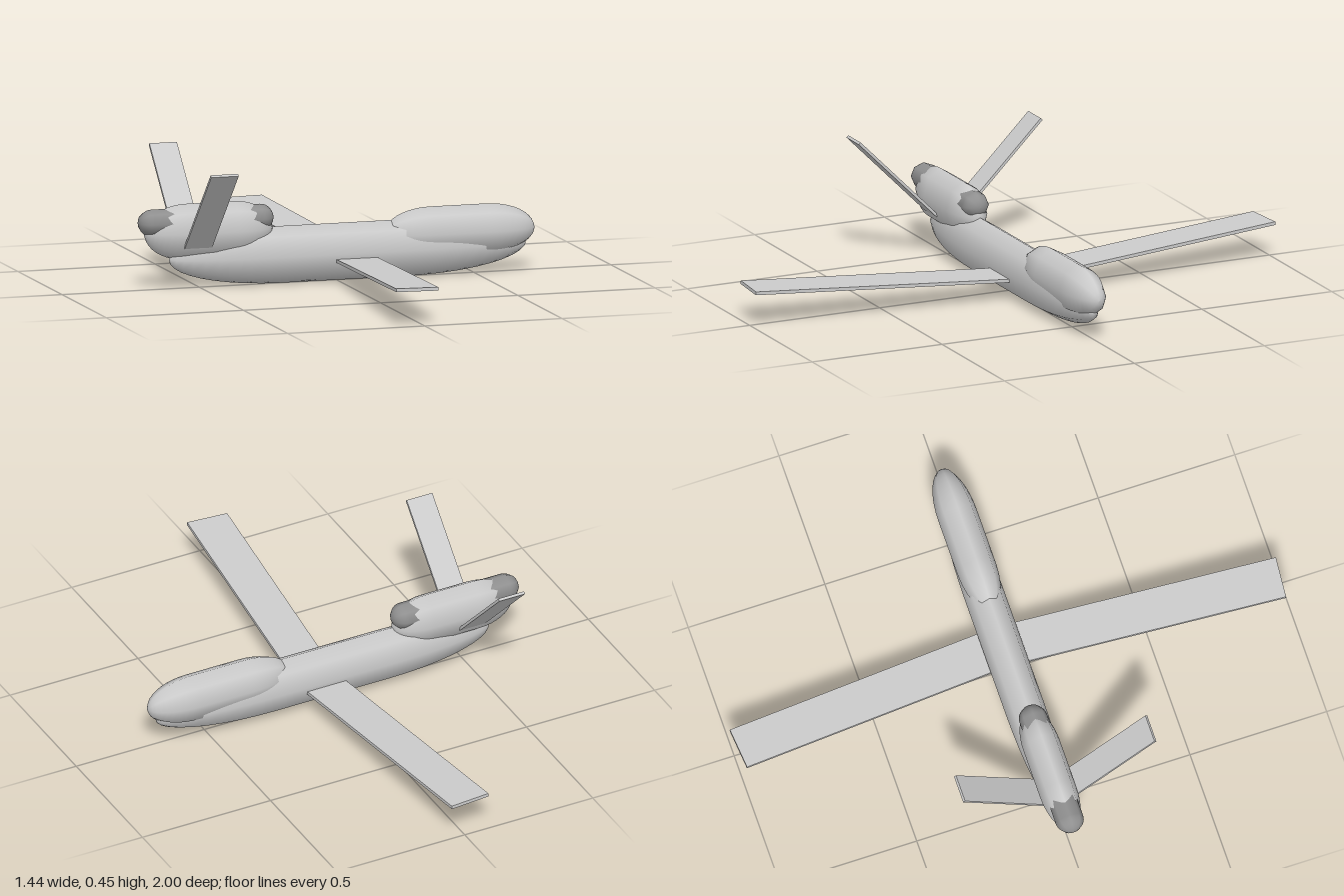
import * as THREE from 'three';

const grey = new THREE.MeshStandardMaterial({ color: 0xcccccc });
const darkGrey = new THREE.MeshStandardMaterial({ color: 0x909090 });

// Eight-sided pod along x with elliptical caps; x0..x3 are rear tip, rear shoulder, front shoulder, nose tip
function pod(name, [x0, x1, x2, x3], y, ry, rz, material = grey) {
  const steps = 10;
  const profile = [];
  for (let i = 0; i <= steps; i++) {
    const a = (i / steps) * Math.PI / 2;
    profile.push(new THREE.Vector2(ry * Math.sin(a), x1 - (x1 - x0) * Math.cos(a)));
  }
  for (let i = steps; i >= 0; i--) {
    const a = (i / steps) * Math.PI / 2;
    profile.push(new THREE.Vector2(ry * Math.sin(a), x2 + (x3 - x2) * Math.cos(a)));
  }
  const geometry = new THREE.LatheGeometry(profile, 8);
  geometry.rotateZ(-Math.PI / 2);
  geometry.scale(1, 1, rz / ry);
  const mesh = new THREE.Mesh(geometry, material);
  mesh.name = name;
  mesh.position.y = y;
  return mesh;
}

// Flat plank running from a root point to a tip point
function plank(name, root, tip, chord, thickness) {
  const mesh = new THREE.Mesh(new THREE.BoxGeometry(chord, thickness, root.distanceTo(tip)), grey);
  mesh.name = name;
  mesh.position.copy(root).add(tip).multiplyScalar(0.5);
  mesh.lookAt(tip);
  return mesh;
}

export function createModel() {
  const model = new THREE.Group();
  model.name = 'drone';

  // Body, nose dome and engine housing
  model.add(
    pod('fuselage', [-0.61, -0.2, 0.25, 0.69], 0.1, 0.1, 0.07),
    pod('noseDome', [0.17, 0.34, 0.545, 0.72], 0.15, 0.09, 0.07),
    pod('engineHousing', [-0.7, -0.55, -0.37, -0.235], 0.198, 0.098, 0.066),
    pod('engine', [-0.722, -0.675, -0.28, -0.232], 0.235, 0.047, 0.05, darkGrey)
  );

  // Swept wings and V-tail, mirrored across z
  for (const s of [1, -1]) {
    const side = s > 0 ? 'Right' : 'Left';
    model.add(
      plank('wing' + side, new THREE.Vector3(0.06, 0.073, 0),
        new THREE.Vector3(-0.025, 0.128, s * 0.993), 0.15, 0.012),
      plank('tailFin' + side, new THREE.Vector3(-0.52, 0.15, s * 0.05),
        new THREE.Vector3(-0.52, 0.45, s * 0.35), 0.1, 0.01)
    );
  }
  return model;
}
